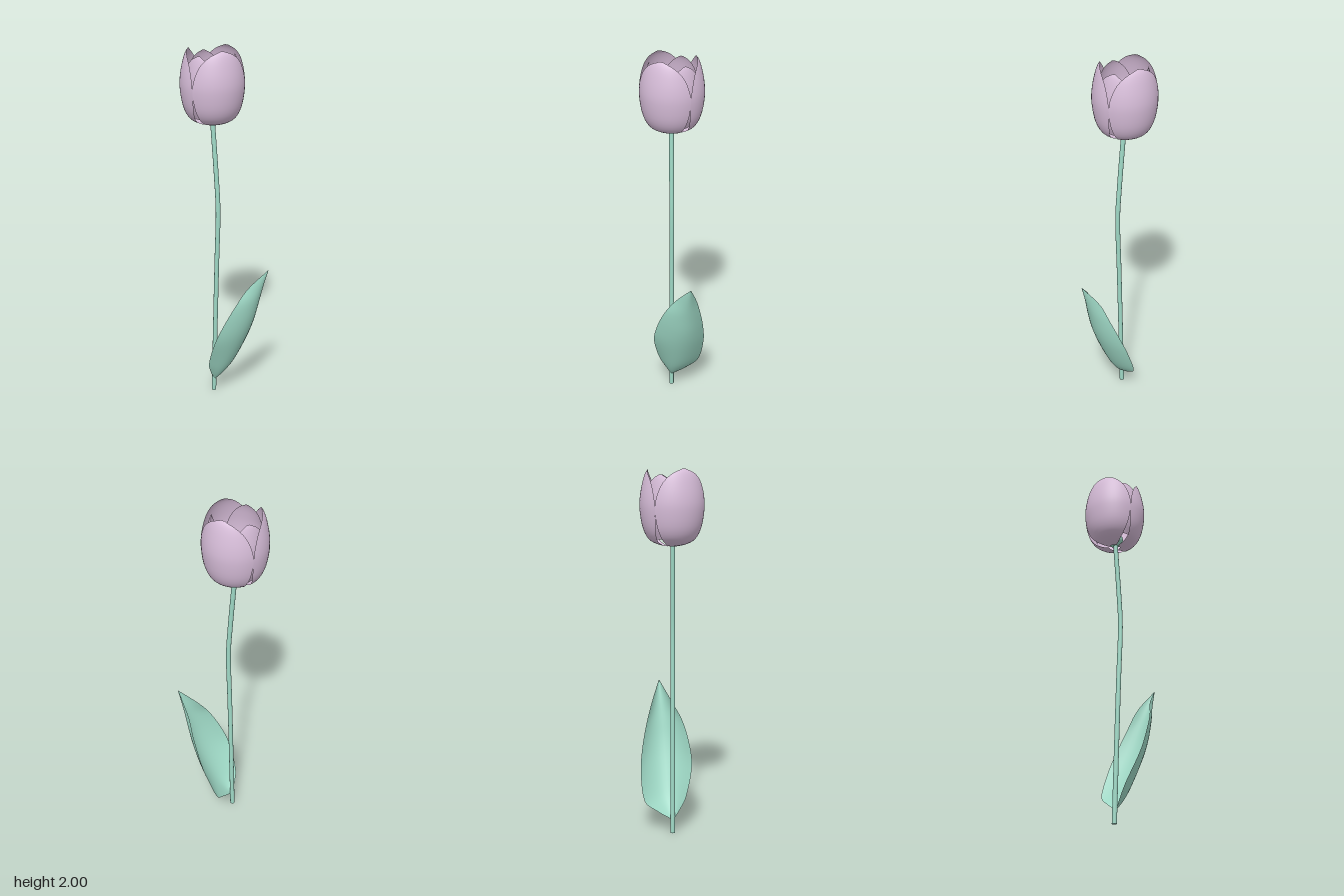
import * as THREE from 'three';

const V = (x, y, z) => new THREE.Vector3(x, y, z);
const spline = (pts) => new THREE.CatmullRomCurve3(pts.map((p) => V(...p)), false, 'catmullrom', 0.5);

const pink = new THREE.MeshStandardMaterial({ color: 0xd9bfdb, side: THREE.DoubleSide });
const green = new THREE.MeshStandardMaterial({ color: 0x9fd9c6, side: THREE.DoubleSide });

// Smooth sheet from a rule f(u, v), u along the length 0..1, v across -1..1
function sheet(nu, nv, f) {
  const pos = [], index = [];
  for (let i = 0; i <= nu; i++) {
    for (let j = 0; j <= nv; j++) {
      pos.push(...f(i / nu, (2 * j) / nv - 1).toArray());
      if (i < nu && j < nv) {
        const a = i * (nv + 1) + j, b = a + nv + 1;
        index.push(a, b, a + 1, b, b + 1, a + 1);
      }
    }
  }
  const g = new THREE.BufferGeometry();
  g.setAttribute('position', new THREE.Float32BufferAttribute(pos, 3));
  g.setIndex(index);
  g.computeVertexNormals();
  return g;
}

// Petal profiles from base to tip: radius, height, half spread in radians
const outerProfile = spline([
  [0.03, 1.6, 0.87], [0.08, 1.612, 0.87], [0.125, 1.64, 0.92], [0.155, 1.7, 1.01], [0.17, 1.79, 1.05],
  [0.168, 1.86, 1.0], [0.155, 1.93, 0.82], [0.14, 1.977, 0.49], [0.125, 2.0, 0.08],
]);
const innerProfile = spline([
  [0.105, 1.64, 0.45], [0.13, 1.7, 0.73], [0.145, 1.78, 0.84], [0.145, 1.85, 0.8],
  [0.136, 1.91, 0.63], [0.126, 1.95, 0.36], [0.116, 1.972, 0.06],
]);

function petalGeometry(profile) {
  return sheet(28, 16, (u, v) => {
    const p = profile.getPoint(u), a = v * p.z;
    return V(p.x * Math.cos(a), p.y, p.x * Math.sin(a));
  });
}

export function createModel() {
  const model = new THREE.Group();
  model.name = 'tulip';
  const add = (parent, name, geometry, material) => {
    const mesh = new THREE.Mesh(geometry, material);
    mesh.name = name;
    parent.add(mesh);
    return mesh;
  };

  // Gently bowed stem
  const stemPath = spline([
    [-0.008, 0, -0.073], [-0.008, 0.4, -0.062], [-0.008, 0.8, -0.05], [-0.008, 1.1, -0.04],
    [-0.008, 1.3, -0.05], [-0.008, 1.63, -0.076],
  ]);
  add(model, 'stem', new THREE.TubeGeometry(stemPath, 40, 0.013, 12), green);
  const cap = add(model, 'stemCap', new THREE.CircleGeometry(0.013, 12), green);
  cap.rotation.x = Math.PI / 2;
  cap.position.set(-0.008, 0, -0.073);

  // Blossom: three outer petals, three inner ones behind their seams
  const blossom = new THREE.Group();
  blossom.name = 'blossom';
  blossom.position.set(-0.004, 0, -0.078);
  model.add(blossom);
  const outer = petalGeometry(outerProfile), inner = petalGeometry(innerProfile);
  for (let i = 0; i < 3; i++) {
    const angle = (i * Math.PI * 2) / 3;
    add(blossom, 'outerPetal', outer, pink).rotation.y = angle;
    add(blossom, 'innerPetal', inner, pink).rotation.y = angle + Math.PI / 3;
  }
  const heart = add(blossom, 'flowerHeart', new THREE.SphereGeometry(0.047, 24, 16), green);
  heart.position.set(-0.003, 1.645, 0);
  heart.scale.y = 0.85;

  // Cupped leaf: midrib leaning forward, both edges set back
  const left = spline([
    [-0.01, 0.07, -0.065], [-0.05, 0.135, -0.064], [-0.085, 0.21, -0.05], [-0.115, 0.36, 0.01],
    [-0.1, 0.48, 0.06], [-0.06, 0.6, 0.112], [0, 0.7, 0.155], [0.075, 0.81, 0.24],
  ]);
  const mid = spline([
    [-0.01, 0.07, -0.065], [0.0, 0.13, -0.015], [0.02, 0.21, 0.035], [0.035, 0.36, 0.105],
    [0.045, 0.48, 0.15], [0.055, 0.6, 0.182], [0.065, 0.7, 0.208], [0.075, 0.81, 0.24],
  ]);
  const right = spline([
    [-0.01, 0.07, -0.065], [0.08, 0.12, -0.058], [0.15, 0.18, -0.055], [0.172, 0.33, 0.0],
    [0.165, 0.45, 0.05], [0.145, 0.57, 0.1], [0.115, 0.69, 0.15], [0.075, 0.81, 0.24],
  ]);
  add(model, 'leaf', sheet(32, 14, (u, v) => V(0, 0, 0)
    .addScaledVector(left.getPoint(u), (v * (v - 1)) / 2)
    .addScaledVector(mid.getPoint(u), 1 - v * v)
    .addScaledVector(right.getPoint(u), (v * (v + 1)) / 2)), green);

  return model;
}
